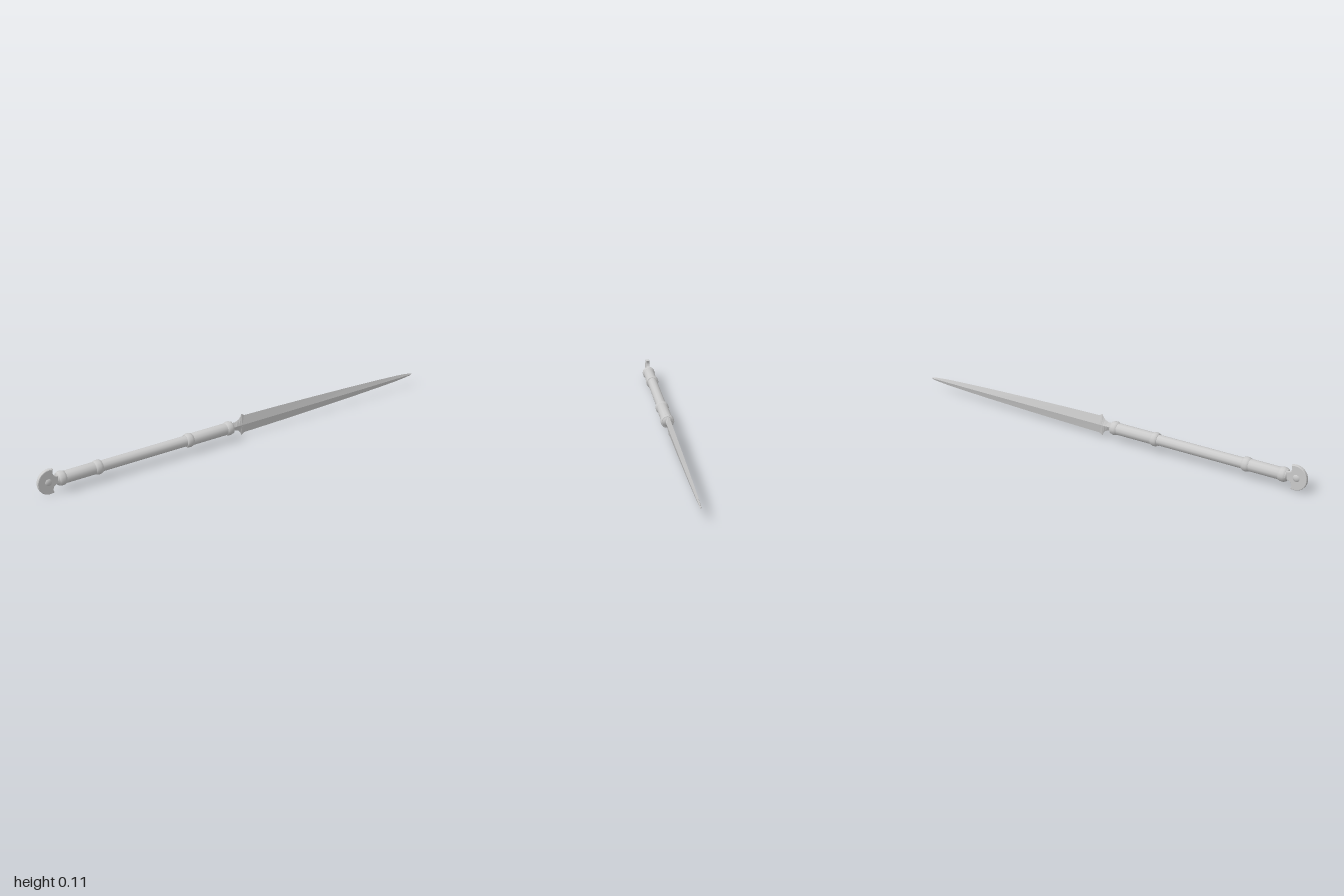
import * as THREE from 'three';

const AXIS_Y = 0.056;
const steel = new THREE.MeshStandardMaterial({ color: 0xcccccc });
const faceted = new THREE.MeshStandardMaterial({ color: 0xcccccc, flatShading: true });

function addMesh(group, name, geometry, material) {
  const mesh = new THREE.Mesh(geometry, material);
  mesh.name = name;
  group.add(mesh);
  return mesh;
}

// Lathe around the long (x) axis from [x, radius] pairs
function latheX(points, sides) {
  const profile = points.map(([x, r]) => new THREE.Vector2(r, x));
  return new THREE.LatheGeometry(profile, sides).rotateZ(-Math.PI / 2);
}

// Diamond cross-sections [x, half height, half thickness] joined along x
function diamondLoft(sections) {
  const positions = [];
  const index = [];
  for (const [x, h, t] of sections) positions.push(x, h, 0, x, 0, t, x, -h, 0, x, 0, -t);
  for (let i = 0; i < sections.length - 1; i++) {
    for (let j = 0; j < 4; j++) {
      const a = i * 4 + j, b = i * 4 + (j + 1) % 4;
      index.push(a, b, a + 4, b, b + 4, a + 4);
    }
  }
  const e = (sections.length - 1) * 4;
  index.push(0, 2, 1, 0, 3, 2, e, e + 1, e + 2, e, e + 2, e + 3);
  const geometry = new THREE.BufferGeometry();
  geometry.setAttribute('position', new THREE.Float32BufferAttribute(positions, 3));
  geometry.setIndex(index);
  geometry.computeVertexNormals();
  return geometry;
}

// Crescent with two horns and a neck toward the grip
function pommelGeometry() {
  const s = new THREE.Shape();
  s.moveTo(-0.905, 0.014);
  s.quadraticCurveTo(-0.93, 0.016, -0.933, 0.03);
  s.quadraticCurveTo(-0.937, 0.04, -0.932, 0.051);
  s.bezierCurveTo(-0.97, 0.06, -0.997, 0.032, -0.997, 0);
  s.bezierCurveTo(-0.997, -0.032, -0.97, -0.06, -0.932, -0.051);
  s.quadraticCurveTo(-0.937, -0.04, -0.933, -0.03);
  s.quadraticCurveTo(-0.93, -0.016, -0.905, -0.014);
  const geometry = new THREE.ExtrudeGeometry(s, {
    depth: 0.01, bevelEnabled: true, bevelThickness: 0.003, bevelSize: 0.003,
    bevelSegments: 2, curveSegments: 8,
  });
  return geometry.translate(0, 0, -0.005);
}

export function createModel() {
  const model = new THREE.Group();
  model.name = 'shortSpear';
  const body = new THREE.Group();
  body.name = 'spearBody';
  body.position.y = AXIS_Y;
  model.add(body);

  // Shaft and thicker grips at either end
  addMesh(body, 'shaft', latheX([[-0.75, 0.0235], [-0.25, 0.0235]], 12), steel);
  for (const [name, x0, x1] of [['rearGrip', -0.91, -0.72], ['frontGrip', -0.28, -0.057]]) {
    addMesh(body, name, latheX([[x0, 0], [x0, 0.0265], [x1, 0.0265], [x1, 0]], 12), steel);
  }

  // Raised collars
  for (const x of [-0.893, -0.725, -0.28, -0.072]) {
    const w = 0.016;
    addMesh(body, 'collar', latheX([
      [x - w, 0.024], [x - w, 0.028], [x - w * 0.4, 0.031],
      [x + w * 0.4, 0.031], [x + w, 0.028], [x + w, 0.024],
    ], 12), steel);
  }

  // Pommel with a round boss on both faces
  addMesh(body, 'pommel', pommelGeometry(), steel);
  const boss = addMesh(body, 'pommelBoss', new THREE.SphereGeometry(0.02, 16, 10), steel);
  boss.scale.z = 0.65;
  boss.position.x = -0.953;

  // Tang and lugs flaring into the ridged blade
  addMesh(body, 'tang', diamondLoft([
    [-0.065, 0.02, 0.009], [-0.035, 0.02, 0.009], [-0.018, 0.027, 0.009],
    [-0.008, 0.038, 0.009], [-0.002, 0.053, 0.009], [0.012, 0.042, 0.009],
  ]), faceted);
  addMesh(body, 'blade', diamondLoft([
    [0.012, 0.042, 0.009], [0.2, 0.0385, 0.0085], [0.4, 0.0335, 0.008],
    [0.64, 0.026, 0.007], [0.8, 0.0195, 0.0055], [0.9, 0.0145, 0.0045],
    [0.96, 0.0095, 0.0035], [0.99, 0.005, 0.0025], [1, 0.0008, 0.0008],
  ]), faceted);

  return model;
}
